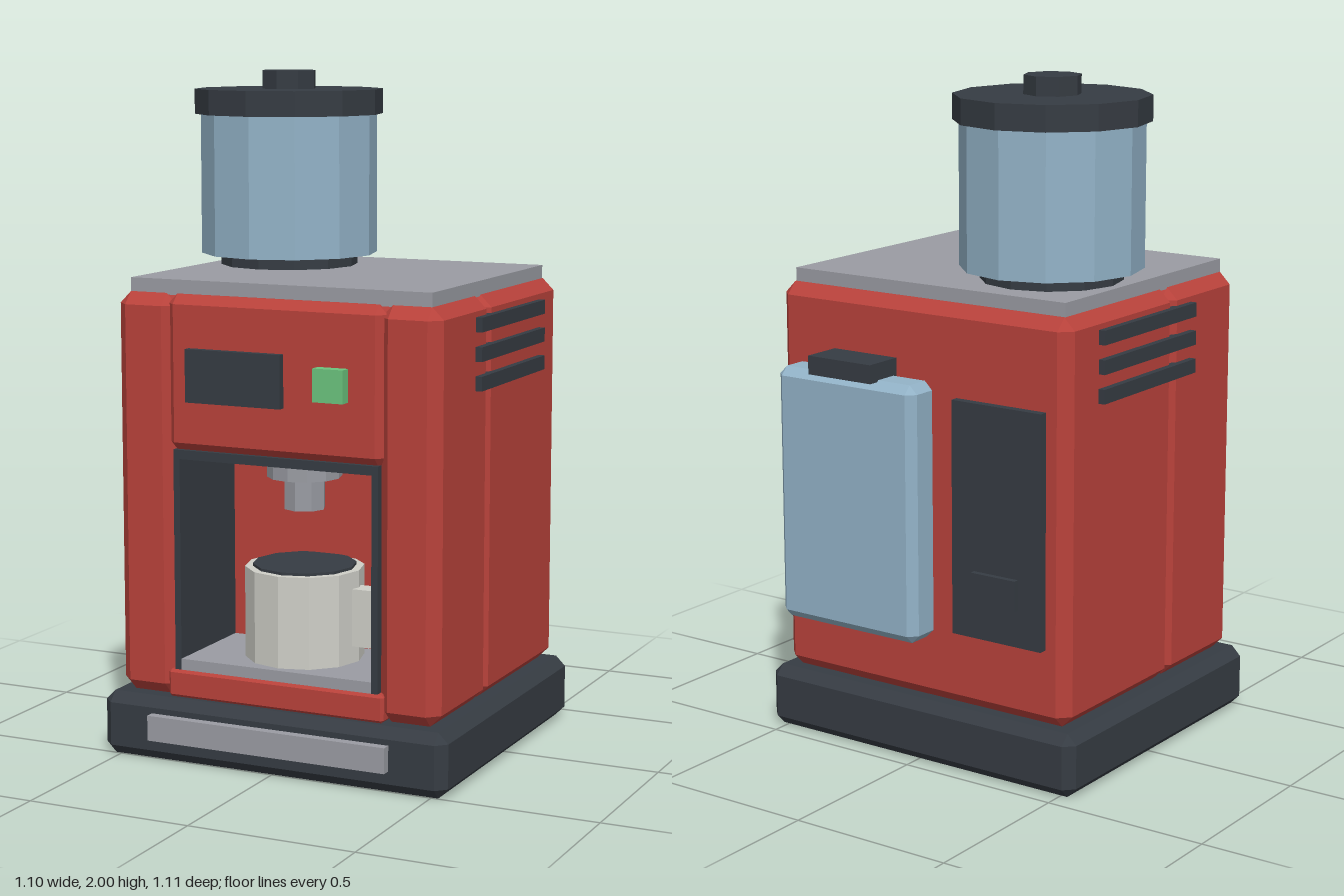
import * as THREE from 'three';
import { ConvexGeometry } from 'three/addons/geometries/ConvexGeometry.js';

const mat = (name, color) => {
  const m = new THREE.MeshStandardMaterial({ color, flatShading: true });
  m.name = name;
  return m;
};

export function createModel() {
  const red = mat('red enamel', 0xb9423b);
  const dark = mat('charcoal plastic', 0x363c43);
  const steel = mat('brushed steel', 0x9a9ca3);
  const glass = mat('blue glass', 0x93b3c8);
  const green = mat('green button', 0x6cc47e);
  const cream = mat('cream china', 0xcfcfc8);

  const model = new THREE.Group();
  model.name = 'coffeeMachine';

  const add = (name, geometry, material, x, y, z) => {
    const mesh = new THREE.Mesh(geometry, material);
    mesh.name = name;
    mesh.position.set(x, y, z);
    model.add(mesh);
    return mesh;
  };

  // Box given by its [min, max] on each axis; c > 0 chamfers every edge
  const box = (name, material, [x0, x1], [y0, y1], [z0, z1], c = 0) => {
    const h = [(x1 - x0) / 2, (y1 - y0) / 2, (z1 - z0) / 2];
    let geometry;
    if (c > 0) {
      const points = [];
      for (const sx of [-1, 1]) for (const sy of [-1, 1]) for (const sz of [-1, 1])
        for (let axis = 0; axis < 3; axis++) {
          const p = h.map((v, i) => (i === axis ? v : v - c));
          points.push(new THREE.Vector3(p[0] * sx, p[1] * sy, p[2] * sz));
        }
      geometry = new ConvexGeometry(points);
    } else {
      geometry = new THREE.BoxGeometry(h[0] * 2, h[1] * 2, h[2] * 2);
    }
    return add(name, geometry, material, (x0 + x1) / 2, (y0 + y1) / 2, (z0 + z1) / 2);
  };

  // Upright faceted cylinder from y0 to y1
  const drum = (name, material, r, y0, y1, x, z, sides = 12) =>
    add(name, new THREE.CylinderGeometry(r, r, y1 - y0, sides), material, x, (y0 + y1) / 2, z);

  // Base with drip tray front
  box('base', dark, [-0.55, 0.55], [0, 0.19], [-0.465, 0.525], 0.03);
  box('dripTrayFront', steel, [-0.38, 0.38], [0.068, 0.143], [0.5, 0.553]);

  // Housing
  box('rearHousing', red, [-0.51, 0.51], [0.19, 1.375], [-0.43, 0.14], 0.035);
  box('controlPanel', red, [-0.345, 0.345], [0.92, 1.375], [0.1, 0.485], 0.027);
  box('frontSill', red, [-0.345, 0.345], [0.19, 0.272], [0.1, 0.487], 0.008);
  box('topPlate', steel, [-0.475, 0.475], [1.37, 1.415], [-0.39, 0.45]);

  // Mirrored pillars, bay liners and side vents
  for (const s of [-1, 1]) {
    const side = s > 0 ? 'left' : 'right';
    const span = (a, b) => (s > 0 ? [a, b] : [-b, -a]);
    box(side + 'Pillar', red, span(0.322, 0.51), [0.19, 1.375], [0.11, 0.485], 0.035);
    box(side + 'BayLiner', dark, span(0.305, 0.325), [0.27, 0.92], [0.13, 0.478]);
    for (let i = 0; i < 3; i++) {
      const y = 1.303 - i * 0.084;
      box(side + 'Vent' + (i + 1), dark, span(0.5, 0.53), [y - 0.021, y + 0.021], [-0.273, 0.222]);
    }
  }

  // Brewing bay
  box('bayCeiling', dark, [-0.325, 0.325], [0.898, 0.925], [0.13, 0.478]);
  box('cupTray', steel, [-0.305, 0.305], [0.26, 0.305], [0.13, 0.478]);
  drum('brewHead', steel, 0.11, 0.84, 0.9, 0, 0.28);
  drum('spout', steel, 0.062, 0.745, 0.845, 0, 0.28, 8);

  // Mug
  drum('mug', cream, 0.175, 0.305, 0.575, 0, 0.28);
  drum('coffee', dark, 0.152, 0.57, 0.583, 0, 0.28);
  box('mugHandle', cream, [0.16, 0.235], [0.355, 0.525], [0.25, 0.31]);

  // Display and button
  box('display', dark, [-0.268, 0.035], [1.07, 1.224], [0.475, 0.508]);
  box('button', green, [0.143, 0.237], [1.1, 1.195], [0.475, 0.521]);

  // Bean hopper
  const hx = -0.24, hz = -0.107;
  drum('hopperCollar', dark, 0.208, 1.41, 1.455, hx, hz);
  drum('hopperJar', glass, 0.267, 1.45, 1.875, hx, hz);
  drum('hopperLid', dark, 0.285, 1.87, 1.945, hx, hz);
  drum('lidKnob', dark, 0.084, 1.94, 2, hx, hz, 8);

  // Water tank and service door on the back
  box('waterTank', glass, [-0.06, 0.437], [0.387, 1.15], [-0.541, -0.42], 0.025);
  box('tankHandle', dark, [0.077, 0.302], [1.145, 1.2], [-0.553, -0.42]);
  box('serviceDoor', dark, [-0.44, -0.135], [0.42, 1.11], [-0.455, -0.42]);
  box('doorLatch', dark, [-0.363, -0.212], [0.53, 0.62], [-0.472, -0.45]);

  return model;
}
